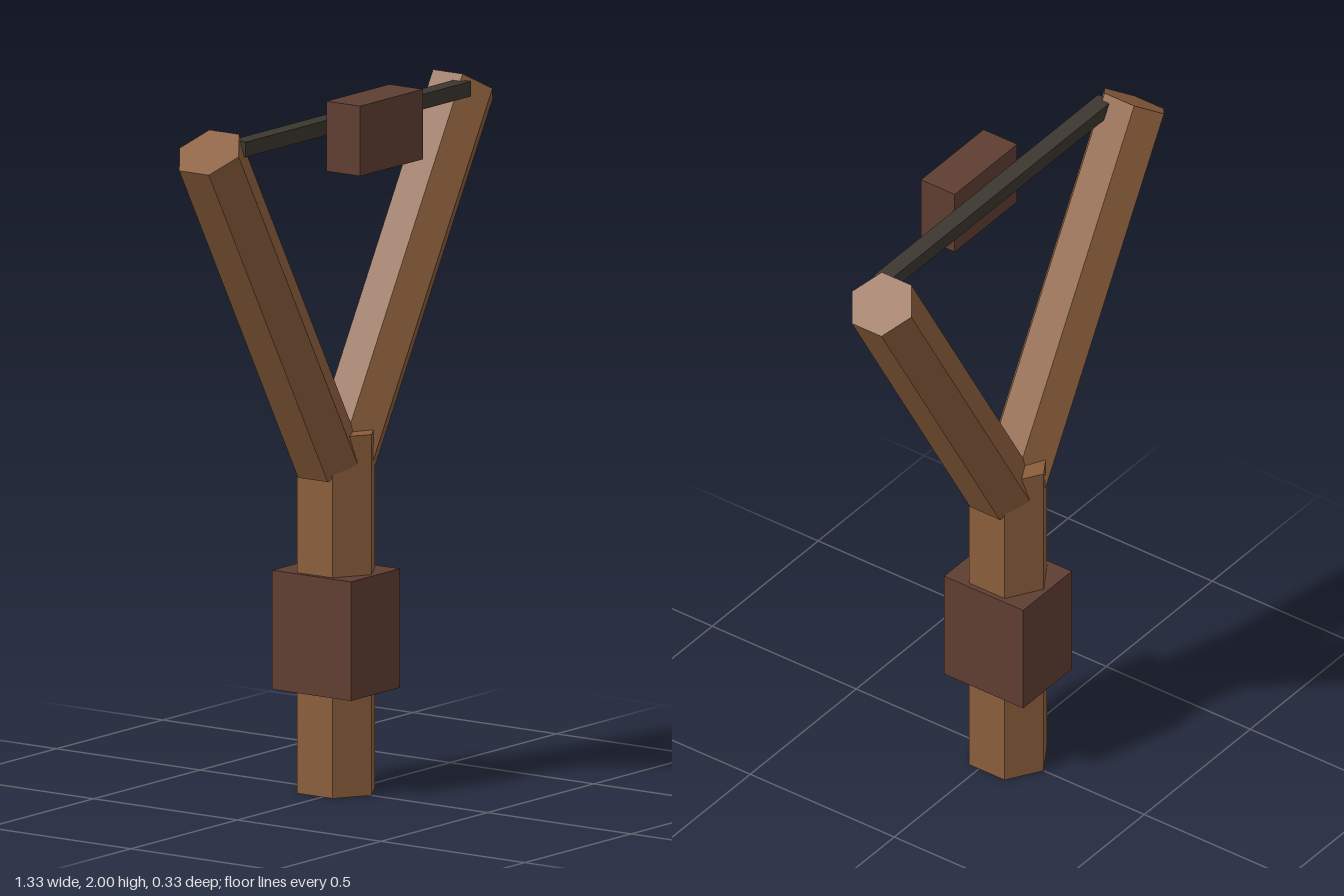
import * as THREE from 'three';

const SQUASH = 0.935; // the whole frame is slightly narrowed in x
const AXIS_Z = -0.027; // depth of the wooden frame's centre

export function createModel() {
  const model = new THREE.Group();
  model.name = 'slingshot';

  const mat = (name, color) => {
    const m = new THREE.MeshStandardMaterial({ color, flatShading: true });
    m.name = name;
    return m;
  };
  const wood = mat('wood', 0x8b5e3c);
  const leather = mat('leather', 0x5f3e31);
  const rubber = mat('rubber', 0x3c3730);

  const add = (name, geometry, material) => {
    const mesh = new THREE.Mesh(geometry, material);
    mesh.name = name;
    model.add(mesh);
  };
  const box = (w, h, d, x, y, z) => new THREE.BoxGeometry(w, h, d).translate(x, y, z);
  const hexBar = (r, length) => new THREE.CylinderGeometry(r, r, length, 6);

  // Upright handle and the wrap around it
  add('handle', hexBar(0.124, 1.03).scale(SQUASH, 1, 1).translate(0, 0.515, AXIS_Z), wood);
  add('gripWrap', box(0.23, 0.34, 0.274, 0, 0.46, AXIS_Z), leather);

  // Mirrored fork arms
  for (const side of [1, -1]) {
    const arm = hexBar(0.103, 1.137)
      .rotateZ(-side * 0.553)
      .scale(SQUASH, 1, 1)
      .translate(side * 0.317, 1.434, AXIS_Z);
    add(side > 0 ? 'leftArm' : 'rightArm', arm, wood);
  }

  // Band between the arm tips, with the pouch in front of it
  add('band', box(1.06, 0.043, 0.05, 0, 1.924, 0.025), rubber);
  add('pouch', box(0.295, 0.2, 0.117, 0, 1.9, 0.108), leather);

  return model;
}
